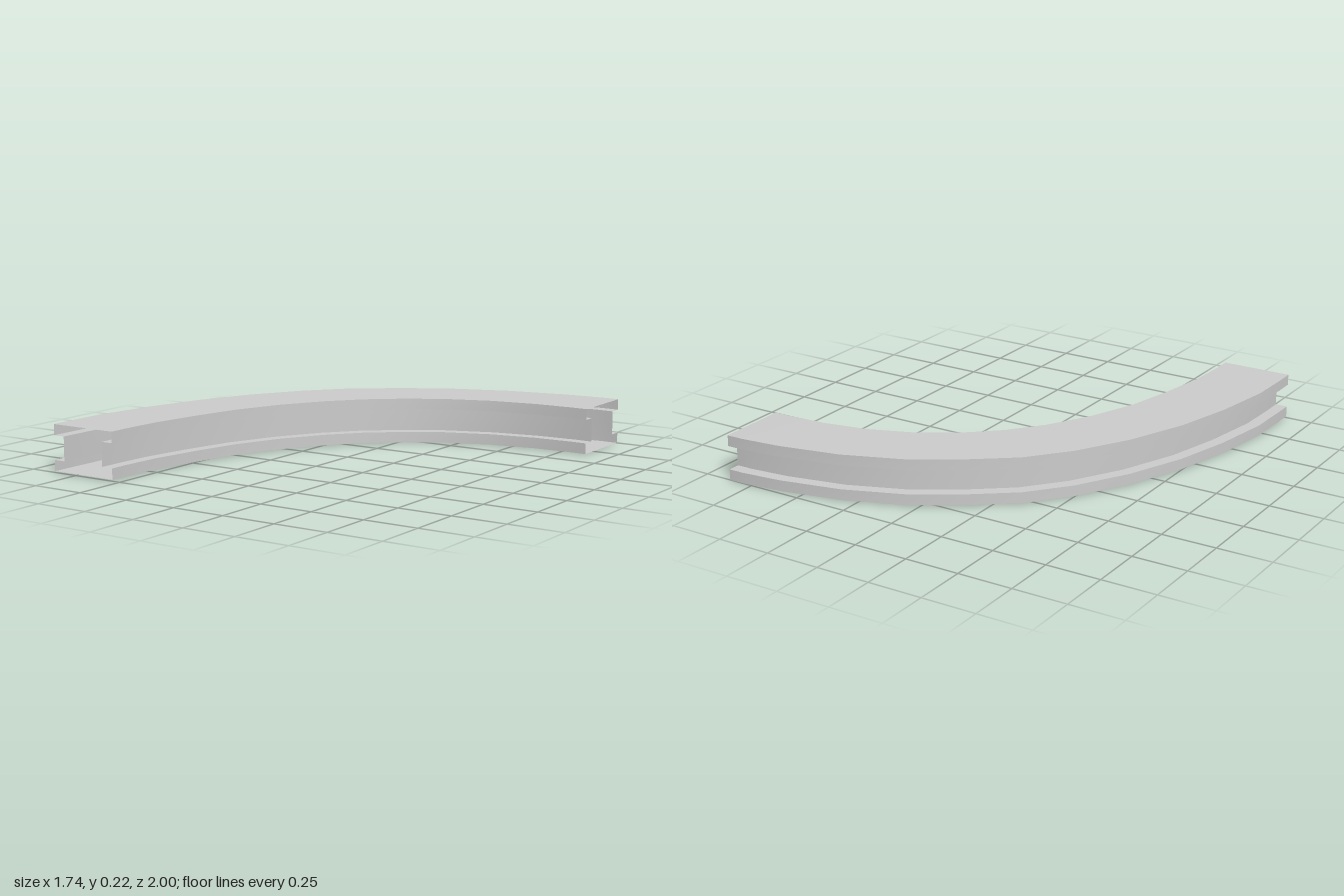
import * as THREE from 'three';
import { toCreasedNormals } from 'three/addons/utils/BufferGeometryUtils.js';

// Outer and inner edges of the bend, [x, z] from the back end to the front end
const OUTER = [
  [0.87, -1], [0.79, -1], [0.6, -0.98], [0.32, -0.92], [0.06, -0.82], [-0.14, -0.7], [-0.35, -0.54],
  [-0.5, -0.36], [-0.64, -0.12], [-0.75, 0.15], [-0.82, 0.42], [-0.865, 0.7], [-0.87, 0.9], [-0.87, 1],
];
const INNER = [
  [0.87, -0.67], [0.79, -0.67], [0.61, -0.66], [0.4, -0.62], [0.19, -0.54], [0.03, -0.44], [-0.12, -0.31],
  [-0.24, -0.16], [-0.35, 0.03], [-0.44, 0.26], [-0.49, 0.48], [-0.53, 0.72], [-0.54, 0.9], [-0.54, 1],
];

// Hollow I-section: [share of the width from the outer edge, height]
const SECTION = [
  [0, 0], [1, 0], [1, 0.05], [0.83, 0.05], [0.83, 0.16], [1, 0.16],
  [1, 0.21], [0, 0.21], [0, 0.16], [0.17, 0.16], [0.17, 0.05], [0, 0.05],
];

// Sweeps the section along the two edges, leaving both ends open
function sweepSection() {
  const positions = [];
  const index = [];
  const n = SECTION.length;
  OUTER.forEach(([ox, oz], i) => {
    const [ix, iz] = INNER[i];
    const lift = 0.006 * i / (OUTER.length - 1); // very slight rise to the front
    SECTION.forEach(([u, y], j) => {
      positions.push(ox + (ix - ox) * u, y + lift, oz + (iz - oz) * u);
      if (i === OUTER.length - 1) return;
      const a = i * n + j, b = i * n + (j + 1) % n;
      index.push(a, b, a + n, b, b + n, a + n);
    });
  });
  const geometry = new THREE.BufferGeometry();
  geometry.setAttribute('position', new THREE.Float32BufferAttribute(positions, 3));
  geometry.setIndex(index);
  return toCreasedNormals(geometry, 0.6);
}

export function createModel() {
  const group = new THREE.Group();
  group.name = 'curvedRail';
  const material = new THREE.MeshStandardMaterial({ color: 0xcccccc, side: THREE.DoubleSide });
  const rail = new THREE.Mesh(sweepSection(), material);
  rail.name = 'railBend';
  group.add(rail);
  return group;
}
